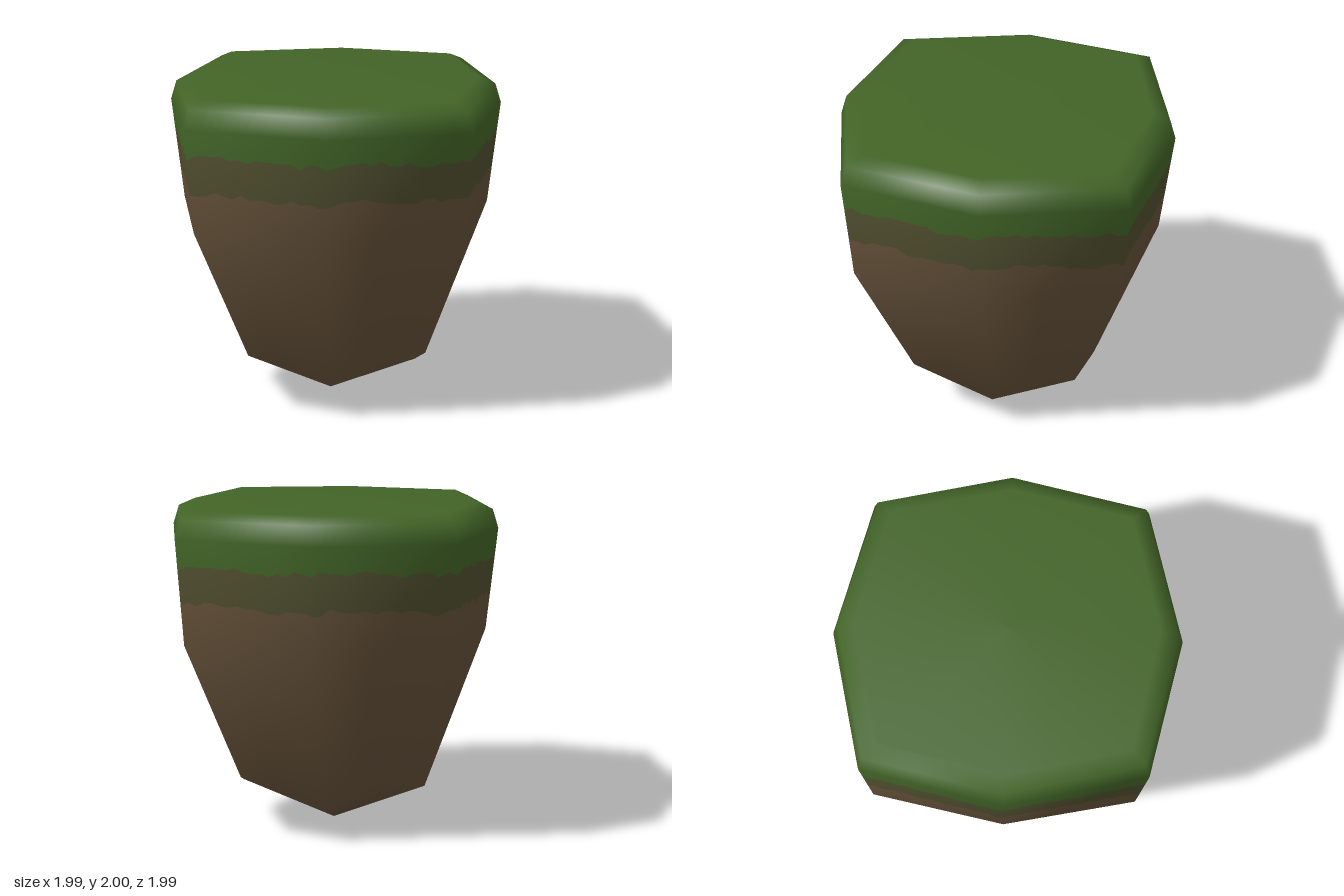
import * as THREE from 'three';

const SIDES = 8, STEPS = 16;

// Rings from bottom to top: [mid-side radius, mid-side y, corner x/z, corner y]
const RINGS = [
  [0, 0, 0, 0],
  [0.57, 0.22, 0.5, 0.38],
  [0.93, 1.23, 0.77, 1.23],
  [0.995, 1.845, 0.805, 1.845],
  [0.96, 1.957, 0.777, 1.957],
  [0.86, 2, 0.7, 2],
  [0, 2, 0, 2],
];

function ringPoint(k, i) {
  const [mid, midY, corner, cornerY] = RINGS[k];
  const isCorner = i % 2 === 1;
  const r = isCorner ? corner * Math.SQRT2 : mid;
  const a = (i / SIDES) * Math.PI * 2;
  return new THREE.Vector3(r * Math.sin(a), isCorner ? cornerY : midY, r * Math.cos(a));
}

// Quads joining rows of `count` columns, optionally closing the loop
function gridIndex(rows, count, closed) {
  const index = [];
  const width = closed ? count : count - 1;
  for (let r = 0; r < rows - 1; r++) {
    for (let i = 0; i < width; i++) {
      const a = r * count + i, b = r * count + (i + 1) % count;
      index.push(a, b, b + count, a, b + count, a + count);
    }
  }
  return index;
}

// Smooth normals of the coarse boulder, shared by all colour zones
function coarseNormals() {
  const pts = RINGS.flatMap((_, k) => Array.from({ length: SIDES }, (_, i) => ringPoint(k, i)));
  const g = new THREE.BufferGeometry().setFromPoints(pts);
  g.setIndex(gridIndex(RINGS.length, SIDES, true));
  g.computeVertexNormals();
  const n = g.attributes.normal;
  return (k, i) => {
    if (k === 0) return new THREE.Vector3(0, -1, 0);
    if (k === RINGS.length - 1) return new THREE.Vector3(0, 1, 0);
    return new THREE.Vector3().fromBufferAttribute(n, k * SIDES + i);
  };
}

// Blend a ring value over the side position u and the ring position t
function sample(fn, u, t) {
  const i = Math.floor(u) % SIDES, j = (i + 1) % SIDES, f = u - Math.floor(u);
  const k = Math.min(Math.floor(t), RINGS.length - 2);
  const low = fn(k, i).lerp(fn(k, j), f);
  const high = fn(k + 1, i).lerp(fn(k + 1, j), f);
  return low.lerp(high, t - k);
}

// Ragged edge line around the body, in ring units
function raggedLine(height, size, seed) {
  const base = 2 + (height - 1.23) / 0.615;
  let s = seed;
  const offsets = Array.from({ length: SIDES * STEPS }, () => {
    s = (s * 16807) % 2147483647;
    return (s / 2147483647 - 0.5) * size;
  });
  return (c) => base + offsets[c % offsets.length] + Math.sin(c * Math.PI / 8) * size * 0.25;
}

function zone(name, rows, material, normalAt) {
  const count = SIDES * STEPS + 1, pos = [], nor = [];
  for (const row of rows) {
    for (let c = 0; c < count; c++) {
      const t = typeof row === 'function' ? row(c) : row;
      pos.push(...sample(ringPoint, c / STEPS, t).toArray());
      nor.push(...sample(normalAt, c / STEPS, t).normalize().toArray());
    }
  }
  const g = new THREE.BufferGeometry();
  g.setAttribute('position', new THREE.Float32BufferAttribute(pos, 3));
  g.setAttribute('normal', new THREE.Float32BufferAttribute(nor, 3));
  g.setIndex(gridIndex(rows.length, count, false));
  const mesh = new THREE.Mesh(g, material);
  mesh.name = name;
  return mesh;
}

function paint(name, color) {
  const m = new THREE.MeshStandardMaterial({ color });
  m.name = name;
  return m;
}

export function createModel() {
  const group = new THREE.Group();
  group.name = 'grassyBoulder';
  const normalAt = coarseNormals();
  const soilEdge = raggedLine(1.465, 0.07, 71);
  const grassEdge = raggedLine(1.685, 0.06, 1933);

  group.add(
    zone('soilBody', [0, 1, 2, soilEdge], paint('soilBrown', 0x66523a), normalAt),
    zone('mossBand', [soilEdge, grassEdge], paint('mossOlive', 0x515030), normalAt),
    zone('grassCap', [grassEdge, 3, 4, 5, 6], paint('grassGreen', 0x426427), normalAt),
  );
  return group;
}
